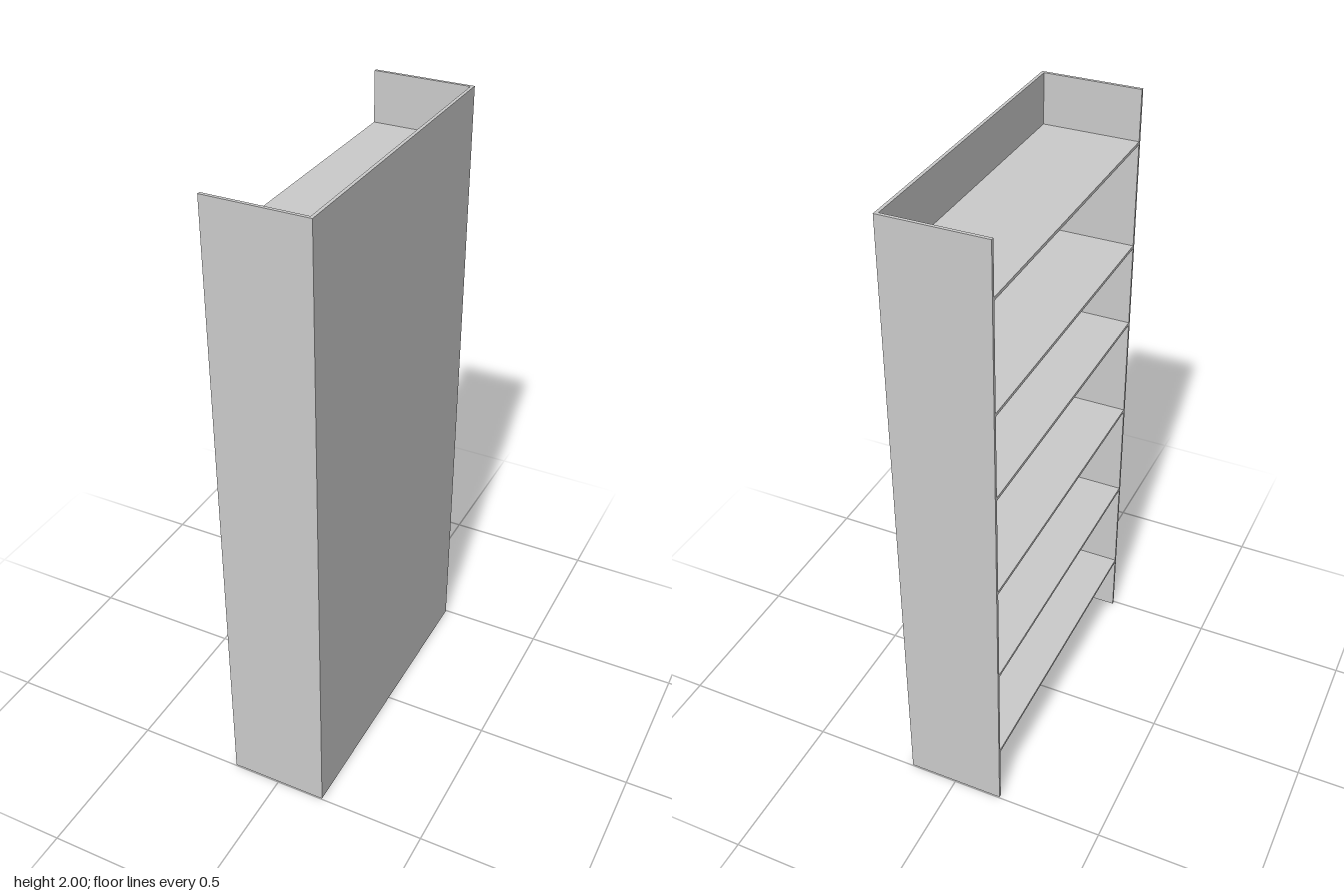
import * as THREE from 'three';

// Open shelving unit: the open side faces -x, the back panel closes +x.
export function createModel() {
  const group = new THREE.Group();
  const material = new THREE.MeshStandardMaterial({ color: 0xcccccc, flatShading: true });
  const depth = 0.314, height = 2, width = 0.994, t = 0.01;

  const board = (name, sx, sy, sz, x, y, z) => {
    const mesh = new THREE.Mesh(new THREE.BoxGeometry(sx, sy, sz), material);
    mesh.name = name;
    mesh.position.set(x, y, z);
    group.add(mesh);
  };

  // Back panel between the two sides
  board('backPanel', t, height, width - 2 * t, depth / 2 - t / 2, height / 2, 0);

  // Full height side panels
  for (const s of [1, -1]) {
    board(s > 0 ? 'frontSidePanel' : 'rearSidePanel',
      depth, height, t, 0, height / 2, s * (width - t) / 2);
  }

  // Shelves, by centre height
  [0.212, 0.547, 0.882, 1.222, 1.497, 1.837].forEach((y, i) => {
    board(`shelf${i + 1}`, depth - t, t, width - 2 * t, -t / 2, y, 0);
  });

  return group;
}
